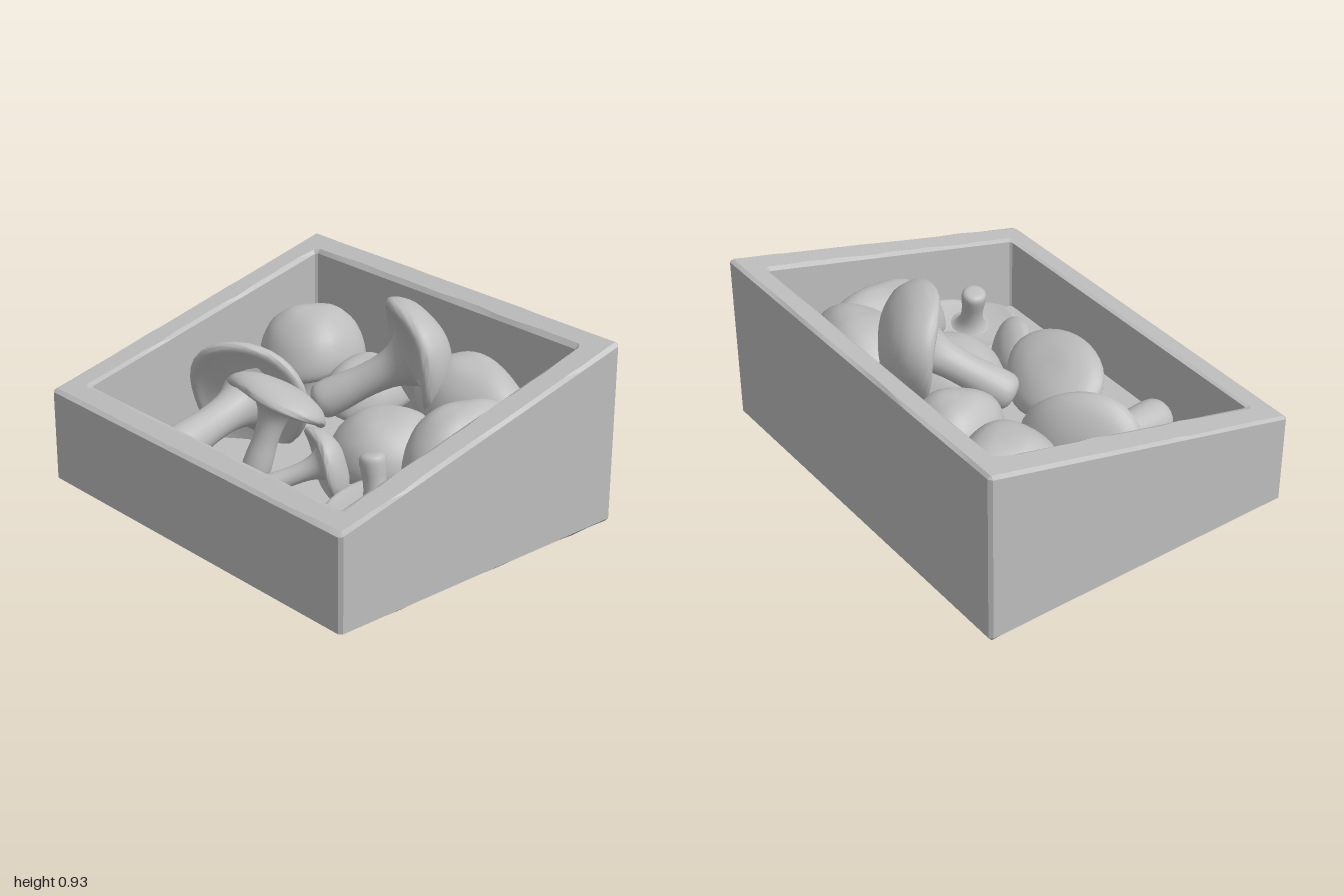
import * as THREE from 'three';
import { toCreasedNormals } from 'three/addons/utils/BufferGeometryUtils.js';

const clay = new THREE.MeshStandardMaterial({ color: 0xbebebe });
clay.name = 'clay grey';
const UP = new THREE.Vector3(0, 1, 0);
const rimHeight = (x) => 0.655 + 0.255 * x;

// Move every vertex by a rule
function deform(geometry, rule) {
  const p = geometry.attributes.position;
  const v = new THREE.Vector3();
  for (let i = 0; i < p.count; i++) {
    rule(v.fromBufferAttribute(p, i));
    p.setXYZ(i, v.x, v.y, v.z);
  }
  return geometry;
}

function addMesh(parent, name, geometry) {
  const mesh = new THREE.Mesh(geometry, clay);
  mesh.name = name;
  parent.add(mesh);
  return mesh;
}

// Rectangle outline with small corner cuts and extra points on each edge
function outline(w, d, cut, steps, Type) {
  const edges = [
    [-w + cut, -d, w - cut, -d], [w, -d + cut, w, d - cut],
    [w - cut, d, -w + cut, d], [-w, d - cut, -w, -d + cut],
  ];
  const pts = [];
  edges.forEach(([x0, y0, x1, y1]) => {
    for (let k = 0; k <= steps; k++) {
      const t = k / steps;
      pts.push(new THREE.Vector2(x0 + (x1 - x0) * t, y0 + (y1 - y0) * t));
    }
  });
  return new Type(pts);
}

// Sloping crate: a bevelled frame sheared to the rim line, plus a floor
function makeCrate() {
  const crate = new THREE.Group();
  crate.name = 'crate';
  const shape = outline(0.805, 1, 0.015, 14, THREE.Shape);
  shape.holes.push(outline(0.68, 0.86, 0.01, 14, THREE.Path));
  const b = 0.02;
  const frame = new THREE.ExtrudeGeometry(shape, {
    depth: 1 - 2 * b, bevelThickness: b, bevelSize: b, bevelOffset: -b, bevelSegments: 1, steps: 1,
  });
  frame.rotateX(-Math.PI / 2).translate(0, b, 0);
  deform(frame, (v) => {
    // worn, uneven rim and base edges, kept in the plane of the rim
    if (v.y > 0.99 || v.y < 0.01) {
      const n = Math.sin(v.x * 19 + v.z * 13) * Math.sin(v.z * 23 - v.x * 7 + 1);
      v.x *= 1 - 0.01 * n;
      v.z *= 1 - 0.01 * n;
    }
    v.y *= rimHeight(v.x);
  });
  addMesh(crate, 'walls', toCreasedNormals(frame, 0.3));
  const floor = new THREE.BoxGeometry(1.4, 0.1, 1.76);
  addMesh(crate, 'floor', floor).position.y = 0.051;
  return crate;
}

// Cap centred on its rim plane, dome along +y, hollow underneath
function capGeometry(radius, height, seed) {
  const profile = [[0, 0], [0.4, -0.02], [0.75, -0.1], [0.9, -0.17], [0.98, -0.1],
    [1, 0.05], [0.95, 0.3], [0.8, 0.62], [0.5, 0.9], [0.22, 0.99], [0, 1]];
  const curve = new THREE.SplineCurve(profile.map(([r, y]) => new THREE.Vector2(r * radius, y * height)));
  const pts = curve.getPoints(26);
  pts.forEach((p) => { p.x = Math.max(p.x, 0); });
  const g = new THREE.LatheGeometry(pts, 32);
  deform(g, (v) => {
    const a = Math.atan2(v.z, v.x);
    const r = Math.hypot(v.x, v.z) / radius;
    const k = 1 + 0.04 * Math.sin(2 * a + seed) + 0.03 * Math.sin(3 * a + seed * 2.3);
    v.x *= k;
    v.z *= k;
    v.y += height * 0.1 * r * r * Math.sin(3 * a + seed);
  });
  return toCreasedNormals(g, 1.2);
}

// Stem from y = 0 to y = length, flaring into the cap
function stemGeometry(length, radius) {
  const profile = [[0, 0], [0.6, 0.01], [0.95, 0.08], [0.95, 0.25], [0.85, 0.5],
    [0.95, 0.75], [1.35, 0.92], [1.9, 1.0]];
  const curve = new THREE.SplineCurve(profile.map(([r, y]) => new THREE.Vector2(r * radius, y * length)));
  const pts = curve.getPoints(20);
  pts.forEach((p) => { p.x = Math.max(p.x, 0); });
  return new THREE.LatheGeometry(pts, 20);
}

function makeMushroom({ name, at, axis, radius, height, squash = [1, 1], foot, stem }, seed) {
  const group = new THREE.Group();
  group.name = name;
  const center = new THREE.Vector3(...at);
  const cap = addMesh(group, 'cap', capGeometry(radius, height, seed));
  cap.position.copy(center);
  cap.scale.set(squash[0], 1, squash[1]);
  cap.quaternion.setFromUnitVectors(UP, new THREE.Vector3(...axis).normalize());
  const base = new THREE.Vector3(...foot);
  const dir = center.clone().sub(base);
  const stalk = addMesh(group, 'stem', stemGeometry(dir.length() + 0.01, stem));
  stalk.position.copy(base);
  stalk.quaternion.setFromUnitVectors(UP, dir.normalize());
  return group;
}

const MUSHROOMS = [
  { name: 'tallMushroom', at: [0.34, 0.655, 0.18], axis: [0.87, 0.22, 0.42], radius: 0.285, height: 0.17,
    foot: [0.04, 0.42, -0.13], stem: 0.09 },
  { name: 'backMushroom', at: [-0.01, 0.33, -0.55], axis: [0.83, 0.2, -0.5], radius: 0.3, height: 0.12,
    foot: [-0.56, 0.24, -0.45], stem: 0.1 },
  { name: 'flaredMushroom', at: [-0.16, 0.47, -0.16], axis: [0.5, 0.85, 0.05], radius: 0.28, height: 0.1,
    squash: [0.78, 1], foot: [-0.27, 0.13, -0.2], stem: 0.07 },
  { name: 'smallMushroom', at: [-0.24, 0.33, 0.24], axis: [0.84, 0.25, 0.42], radius: 0.175, height: 0.1,
    foot: [-0.48, 0.22, 0.07], stem: 0.05 },
  { name: 'upturnedMushroom', at: [-0.26, 0.27, 0.62], axis: [0.05, -1, 0.05], radius: 0.23, height: 0.14,
    foot: [-0.25, 0.5, 0.57], stem: 0.06 },
  { name: 'backCornerMushroom', at: [0.43, 0.41, -0.6], axis: [0.05, 1, 0.05], radius: 0.26, height: 0.25,
    foot: [0.4, 0.1, -0.6], stem: 0.1 },
  { name: 'innerMushroom', at: [0.36, 0.36, -0.14], axis: [0, 1, -0.05], radius: 0.23, height: 0.2,
    squash: [1, 0.85], foot: [0.36, 0.1, -0.14], stem: 0.09 },
  { name: 'middleMushroom', at: [0.1, 0.28, 0.29], axis: [-0.15, 1, 0], radius: 0.27, height: 0.22,
    squash: [1, 0.95], foot: [0.12, 0.1, 0.28], stem: 0.1 },
  { name: 'frontMushroom', at: [0.18, 0.4, 0.67], axis: [-0.12, 1, 0.05], radius: 0.3, height: 0.23,
    squash: [1, 0.64], foot: [0.2, 0.1, 0.66], stem: 0.1 },
  { name: 'sideMushroom', at: [0.46, 0.47, 0.45], axis: [-0.02, 1, 0.08], radius: 0.3, height: 0.23,
    squash: [0.73, 1.07], foot: [0.45, 0.1, 0.44], stem: 0.1 },
];

export function createModel() {
  const model = new THREE.Group();
  model.name = 'mushroomCrate';
  model.add(makeCrate());
  MUSHROOMS.forEach((m, i) => model.add(makeMushroom(m, i * 1.7)));
  return model;
}
